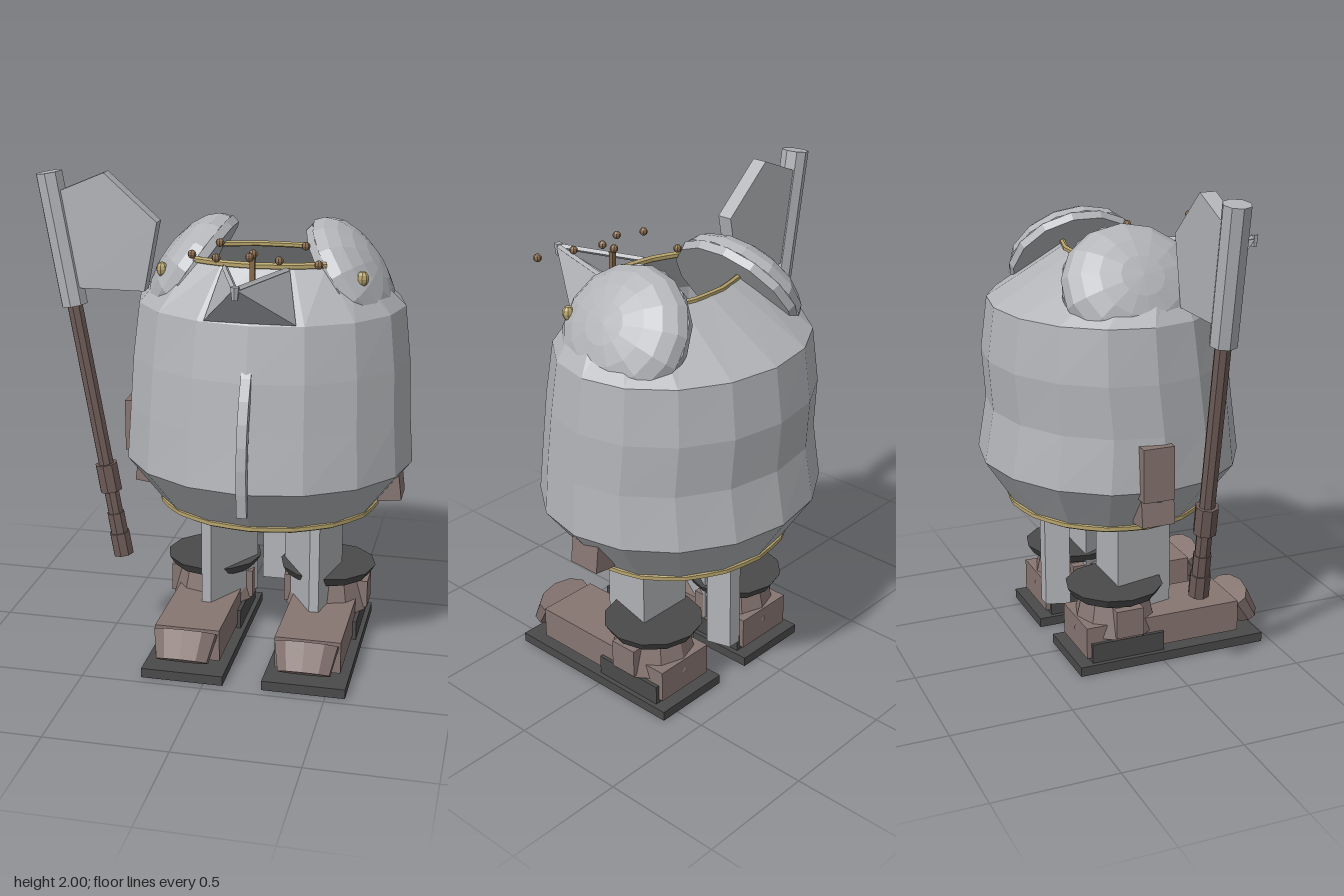
import * as THREE from 'three';

const mat = (name, color, extra = {}) => {
  const m = new THREE.MeshStandardMaterial({ color, flatShading: true, ...extra });
  m.name = name;
  return m;
};

export function createModel() {
  const steel = mat('steel grey', 0xb2b4b8);
  const shellSteel = mat('shell grey', 0xb2b4b8, { side: THREE.DoubleSide });
  const brown = mat('boot brown', 0x877672);
  const staffBrown = mat('staff brown', 0x6e5c58);
  const dark = mat('dark rubber', 0x4b4a4a);
  const gold = mat('brass', 0xb7a46c);
  const bronze = mat('bronze', 0x86694a);

  const model = new THREE.Group();
  const figure = new THREE.Group();
  figure.name = 'figure';
  figure.position.x = 0.16;
  model.add(figure);

  const add = (parent, name, geo, material, x = 0, y = 0, z = 0) => {
    const mesh = new THREE.Mesh(geo, material);
    mesh.name = name;
    mesh.position.set(x, y, z);
    parent.add(mesh);
    return mesh;
  };
  const box = (w, h, d) => new THREE.BoxGeometry(w, h, d);

  // Sixteen sided open barrel shell, from oval rings [y, rx, rz, centre z]
  const SIDES = 16;
  const rings = [
    [0.63, 0.45, 0.4, -0.09], [0.83, 0.6, 0.54, -0.08], [1.05, 0.585, 0.505, -0.075],
    [1.26, 0.575, 0.5, -0.095], [1.48, 0.55, 0.465, -0.1], [1.68, 0.37, 0.22, -0.01],
  ];
  const onRing = ([y, rx, rz, cz], t) =>
    new THREE.Vector3(Math.sin(t) * rx, y, cz + Math.cos(t) * rz);
  const pos = [], index = [];
  rings.forEach((ring, r) => {
    for (let i = 0; i < SIDES; i++) {
      pos.push(...onRing(ring, (i / SIDES) * Math.PI * 2).toArray());
      if (r === rings.length - 1) continue;
      const a = r * SIDES + i, b = r * SIDES + (i + 1) % SIDES;
      index.push(a, b, b + SIDES, a, b + SIDES, a + SIDES);
    }
  });
  const shell = new THREE.BufferGeometry();
  shell.setAttribute('position', new THREE.Float32BufferAttribute(pos, 3));
  shell.setIndex(index);
  const shellFlat = shell.toNonIndexed();
  shellFlat.computeVertexNormals();
  add(figure, 'barrelShell', shellFlat, shellSteel);

  // Brass trim on the lower edge and on the front and back of the neck opening
  const trim = (name, ring, from, to, closed, radius) => {
    const pts = [];
    const n = Math.round((to - from) / (Math.PI / 8));
    for (let i = 0; i <= n - (closed ? 1 : 0); i++) pts.push(onRing(ring, from + ((to - from) * i) / n));
    const path = new THREE.CatmullRomCurve3(pts, closed, 'catmullrom', 0.2);
    add(figure, name, new THREE.TubeGeometry(path, n * 2, radius, 6, closed), gold);
  };
  trim('lowerTrim', [0.635, 0.452, 0.402, -0.09], 0, Math.PI * 2, true, 0.016);
  const neck = rings[5];
  trim('frontNeckTrim', neck, -0.78, 0.78, false, 0.014);
  trim('backNeckTrim', neck, Math.PI - 0.64, Math.PI + 0.64, false, 0.012);

  // Hollow pointed beak at the front of the neck
  for (const s of [-1, 1]) {
    const geo = new THREE.BufferGeometry();
    const p = [s * 0.13, 1.68, 0.215, s * 0.18, 1.485, 0.34, 0, 1.68, 0.615,
      s * 0.18, 1.485, 0.34, 0, 1.49, 0.365, 0, 1.68, 0.615];
    geo.setAttribute('position', new THREE.Float32BufferAttribute(p, 3));
    geo.computeVertexNormals();
    add(figure, 'beakPlate', geo, shellSteel);
    // blade along the upper edge of the beak
    const edge = new THREE.LineCurve3(
      new THREE.Vector3(s * 0.12, 1.672, 0.23), new THREE.Vector3(0, 1.672, 0.6));
    add(figure, 'beakEdge', new THREE.TubeGeometry(edge, 1, 0.012, 4), steel);
  }
  add(figure, 'beakTip', new THREE.CylinderGeometry(0.018, 0.012, 0.05, 6), steel, 0, 1.66, 0.6);
  add(figure, 'beakPost', box(0.02, 0.12, 0.02), bronze, 0, 1.665, 0.285);

  // Curved fin down the front of the barrel
  const fin = new THREE.Shape();
  fin.moveTo(0.36, 1.36);
  fin.quadraticCurveTo(0.54, 1.1, 0.475, 0.74);
  fin.lineTo(0.455, 0.74);
  fin.quadraticCurveTo(0.48, 1.1, 0.36, 1.3);
  const finGeo = new THREE.ExtrudeGeometry(fin, { depth: 0.04, bevelEnabled: false, curveSegments: 7 });
  finGeo.rotateY(-Math.PI / 2).translate(0.02, 0, 0);
  add(figure, 'frontFin', finGeo, steel);

  // Wedge-shaped struts, drawn in plan (x, z) and dropped from the top
  const strut = (name, plan) => {
    const shape = new THREE.Shape(plan.map(([x, z]) => new THREE.Vector2(x, z)));
    const geo = new THREE.ExtrudeGeometry(shape, { depth: 0.52, bevelEnabled: false });
    add(figure, name, geo.rotateX(Math.PI / 2), steel, 0, 0.68, 0);
  };
  strut('rearStrut', [[-0.06, -0.28], [0.06, -0.28], [0.03, -0.38], [-0.03, -0.38]]);

  for (const s of [-1, 1]) {
    strut('leg', [[s * 0.25, 0.1], [s * 0.21, 0.1], [s * 0.06, -0.16], [s * 0.31, -0.16]]);

    // Boot: sole, foot, heel, tilted toe cap, ankle and collar
    const boot = new THREE.Group();
    boot.name = 'boot';
    boot.position.x = s * 0.25;
    figure.add(boot);
    add(boot, 'sole', box(0.34, 0.04, 0.83), dark, 0, 0.02, 0.045);
    add(boot, 'foot', box(0.27, 0.135, 0.69), brown, 0, 0.125, 0.015);
    add(boot, 'heelBlock', box(0.3, 0.085, 0.32), dark, 0, 0.08, -0.15);
    const toe = new THREE.CylinderGeometry(0.135, 0.11, 0.12, 10);
    toe.scale(1, 1, 0.52).rotateX(-0.57);
    add(boot, 'toeCap', toe, brown, 0, 0.135, 0.413);
    add(boot, 'ankle', new THREE.CylinderGeometry(0.145, 0.18, 0.15, 10), brown, 0, 0.21, -0.155);
    add(boot, 'ankleBlock', box(0.36, 0.12, 0.12), brown, 0, 0.205, -0.155);
    add(boot, 'ankleCollar', new THREE.CylinderGeometry(0.205, 0.18, 0.04, 12), dark, 0, 0.3, -0.155);

    // Tilted shoulder dome with flat inner face and brass stud
    const tilt = -s * 0.985;
    const dome = new THREE.Group();
    dome.name = 'shoulderDome';
    dome.position.set(s * 0.32, 1.585, -0.1);
    dome.rotation.z = tilt;
    figure.add(dome);
    const cap = new THREE.SphereGeometry(1, 14, 5, 0, Math.PI * 2, 0, Math.PI / 2);
    add(dome, 'domeCap', cap.scale(0.27, 0.14, 0.29), steel);
    const rim = new THREE.CylinderGeometry(1, 0.97, 0.035, 14);
    add(dome, 'domeRim', rim.scale(0.27, 1, 0.29), steel, 0, -0.0175, 0);
    const stud = new THREE.SphereGeometry(0.03, 8, 6);
    add(figure, 'domeStud', stud.scale(0.8, 1, 0.8), gold, s * 0.4, 1.63, 0.12);

    // Hip pouch under the widest part of the shell
    const pouch = add(figure, 'hipPouch', box(0.1, 0.12, 0.14), brown, s * 0.51, 0.73, -0.09);
    pouch.rotation.z = s * 0.12;
  }
  add(figure, 'holster', box(0.06, 0.22, 0.13), brown, -0.585, 0.91, -0.11);

  // Small beads floating around the neck, as [x, z]
  const beads = [[-0.17, 0.09], [0.17, 0.085], [0.21, 0.05], [-0.225, 0.33], [-0.12, 0.38],
    [0, 0.275], [0, 0.34], [0.12, 0.38], [0.275, 0.42]];
  for (const [x, z] of beads) {
    add(figure, 'bead', new THREE.SphereGeometry(0.017, 8, 6), bronze, x, 1.74, z);
  }

  // Leaning axe: staff pieces as [name, from, to, radius] along its length
  const axe = new THREE.Group();
  axe.name = 'axe';
  axe.position.set(-0.44, 0.37, 0.07);
  axe.rotation.z = 0.168;
  model.add(axe);
  const pieces = [
    ['staffShaft', 0.02, 1.12, 0.033, staffBrown], ['staffButt', 0, 0.1, 0.044, staffBrown],
    ['staffGrip', 0.1, 0.19, 0.038, staffBrown], ['staffCollar', 0.29, 0.41, 0.048, staffBrown],
    ['axeSocket', 1.1, 1.645, 0.056, steel],
  ];
  for (const [name, a, b, r, m] of pieces) {
    add(axe, name, new THREE.CylinderGeometry(r, r, b - a, 8), m, 0, (a + b) / 2, 0);
  }

  // Five-sided axe blade
  const blade = new THREE.Shape([[-0.67, 1.92], [-0.48, 2], [-0.265, 1.81], [-0.32, 1.53], [-0.61, 1.53]]
    .map(([x, y]) => new THREE.Vector2(x, y)));
  const bladeGeo = new THREE.ExtrudeGeometry(blade, { depth: 0.065, bevelEnabled: false });
  add(model, 'axeBlade', bladeGeo, steel, 0, 0, 0.035);

  return model;
}
